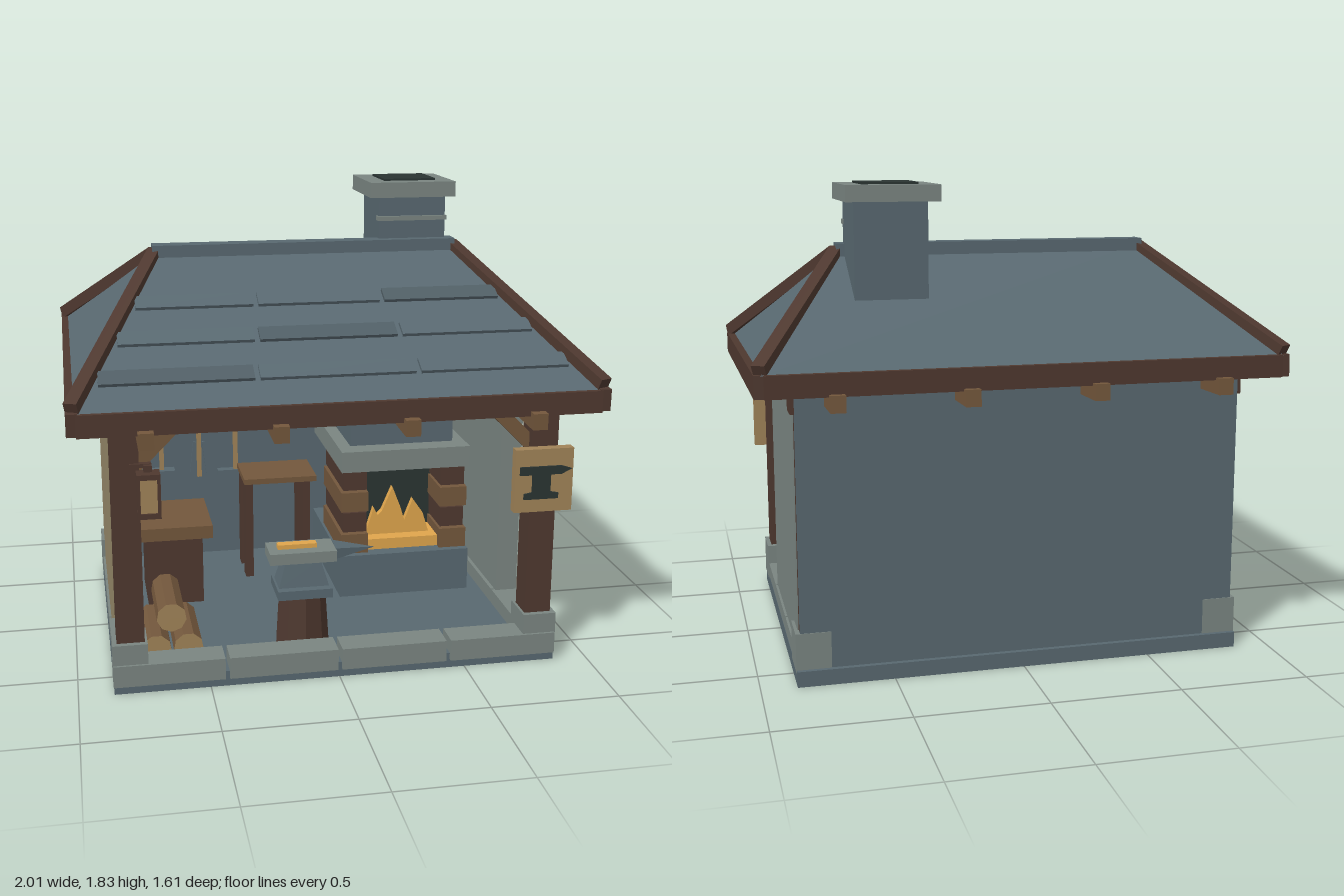
import * as THREE from 'three';

const mat = (name, color, side = THREE.FrontSide) => {
  const m = new THREE.MeshStandardMaterial({ color, side, flatShading: true });
  m.name = name;
  return m;
};
const slate = mat('slate', 0x586870), slateDark = mat('dark slate', 0x505e65);
const stone = mat('stone', 0x7a8581), timber = mat('dark timber', 0x4e382f);
const wood = mat('wood', 0x73573c), tan = mat('pale wood', 0xa08358);
const plaster = mat('plaster', 0x948768), soot = mat('soot', 0x2a3432);
const fire = mat('fire', 0xdfa54c, THREE.DoubleSide);

export function createModel() {
  const root = new THREE.Group();
  root.name = 'forgeHut';
  const add = (name, geo, material, x = 0, y = 0, z = 0, parent = root) => {
    const m = new THREE.Mesh(geo, material);
    m.name = name;
    m.position.set(x, y, z);
    parent.add(m);
    return m;
  };
  // Box given by its limits on each axis
  const box = (name, material, x0, x1, y0, y1, z0, z1) =>
    add(name, new THREE.BoxGeometry(x1 - x0, y1 - y0, z1 - z0), material, (x0 + x1) / 2, (y0 + y1) / 2, (z0 + z1) / 2);
  // Box of section w by h running between two points
  const beam = (name, material, a, b, w, h) => {
    const p = new THREE.Vector3(...a), q = new THREE.Vector3(...b);
    const m = add(name, new THREE.BoxGeometry(w, h, p.distanceTo(q)), material);
    m.position.copy(p).lerp(q, 0.5);
    m.lookAt(q);
    return m;
  };
  // Flat cut-out from outline points
  const plate = (name, material, pts, z, depth) =>
    add(name, new THREE.ExtrudeGeometry(new THREE.Shape(pts.map(p => new THREE.Vector2(...p))), { depth, bevelEnabled: false }), material, 0, 0, z);

  // Floor slab and stone rim
  box('floorSlab', slate, -0.865, 0.865, 0, 0.06, -0.645, 0.65);
  for (const [a, b] of [[-0.868, -0.445], [-0.428, -0.008], [0.008, 0.422], [0.44, 0.863]])
    box('frontRimStone', stone, a, b, 0.035, 0.12, 0.55, 0.667);
  for (const s of [-1, 1]) {
    const sideBox = (name, m, x0, x1, ...r) => box(name, m, Math.min(s * x0, s * x1), Math.max(s * x0, s * x1), ...r);
    for (const [a, b] of [[0.205, 0.505], [-0.2, 0.195], [-0.475, -0.212]])
      sideBox('sideRimStone', stone, 0.75, 0.864, 0.05, 0.12, a, b);
    sideBox('frontCornerStone', stone, 0.735, 0.867, 0.05, 0.2, 0.505, 0.657);
    sideBox('backCornerStone', stone, 0.735, 0.867, 0.05, 0.2, -0.628, -0.475);
    // Posts, side walls and corner braces
    sideBox('frontPost', timber, 0.745, 0.85, 0.19, 1.06, 0.53, 0.635);
    sideBox('backPost', timber, 0.745, 0.85, 0.19, 1.1, -0.607, -0.5);
    sideBox('sideWall', s > 0 ? stone : plaster, 0.765, 0.855, 0.115, 1.11, -0.58, 0.215);
    beam('cornerBrace', wood, [s * 0.76, 0.88, 0.58], [s * 0.6, 1.04, 0.58], 0.05, 0.055);
  }
  box('backWall', slate, -0.85, 0.85, 0.06, 1.12, -0.625, -0.606);
  box('frontPlate', timber, -0.86, 0.86, 1.03, 1.09, 0.53, 0.635);
  box('backPlate', timber, -0.865, 0.865, 1.02, 1.11, -0.62, -0.52);

  // Hipped roof, with eaves a little higher at the back
  const ex = 0.975, ez = 0.755, rx = 0.62, rz = -0.1, ry = 1.56, fy = 1.125, by = 1.185;
  const A = [-ex, fy, ez], B = [ex, fy, ez], C = [ex, by, -ez], D = [-ex, by, -ez];
  const L = [-rx, ry, rz], R = [rx, ry, rz];
  const roof = new THREE.BufferGeometry();
  roof.setAttribute('position', new THREE.Float32BufferAttribute(
    [A, B, R, A, R, L, B, C, R, C, D, L, C, L, R, D, A, L].flat(), 3));
  roof.computeVertexNormals();
  add('roofSlopes', roof, slate);
  beam('soffit', timber, [0, 1.085, ez], [0, 1.145, -ez], 1.94, 0.02);
  box('ridgeCap', slate, -0.628, 0.622, 1.53, 1.588, -0.138, -0.06);
  beam('frontFascia', timber, [-0.965, 1.086, 0.752], [0.965, 1.086, 0.752], 0.036, 0.084);
  beam('backFascia', timber, [-0.965, 1.147, -0.752], [0.965, 1.147, -0.752], 0.036, 0.084);
  for (const s of [-1, 1]) {
    beam('sideFascia', timber, [s * 0.978, 1.09, 0.765], [s * 0.978, 1.147, -0.755], 0.042, 0.084);
    beam('frontHip', timber, [s * 0.978, 1.145, 0.745], [s * 0.615, 1.555, -0.1], 0.05, 0.05);
    beam('backHip', timber, [s * 0.978, 1.2, -0.745], [s * 0.615, 1.555, -0.1], 0.05, 0.05);
  }
  for (const x of [-0.725, -0.245, 0.235, 0.715]) {
    beam('frontRafterEnd', wood, [x, 1.03, 0.803], [x, 1.037, 0.6], 0.056, 0.062);
    beam('backRafterEnd', wood, [x, 1.085, -0.803], [x, 1.078, -0.6], 0.056, 0.062);
  }

  // Slate courses on the front slope
  const drop = (ry - fy) / (ez - rz);
  [[0.208, -0.255, 0.245, 2], [0.4, -0.277, 0.272, 1], [0.595, -0.305, 0.297, 0]].forEach(([z, a, b, dark]) => {
    const end = rx + (ex - rx) * (z - rz) / (ez - rz) - 0.03;
    [[-end, a - 0.01], [a + 0.01, b - 0.01], [b + 0.01, end]].forEach(([x0, x1], i) => {
      const m = add('roofSlate', new THREE.BoxGeometry(x1 - x0, 0.02, 0.076), i === dark ? slateDark : slate,
        (x0 + x1) / 2, ry - drop * (z - rz) + 0.003, z);
      m.rotation.x = Math.atan(drop);
    });
  });

  // Chimney
  box('chimneyShaft', slate, 0.31, 0.59, 1.25, 1.77, -0.39, -0.105);
  box('chimneyBand', stone, 0.302, 0.594, 1.662, 1.68, -0.13, -0.09);
  box('chimneyCap', stone, 0.268, 0.625, 1.758, 1.82, -0.43, -0.075);
  box('chimneyMouth', soot, 0.34, 0.557, 1.82, 1.828, -0.363, -0.147);

  // Forge hearth
  box('hearthBase', slate, 0.127, 0.694, 0.06, 0.245, -0.605, 0.03);
  box('hearthBack', soot, 0.2, 0.62, 0.245, 0.63, -0.605, -0.2);
  for (let i = 0; i < 4; i++) {
    const y = 0.245 + i * 0.094, w = i % 2 ? 0 : 0.01;
    const m = i % 2 ? timber : wood;
    box('hearthJamb', m, 0.148 - w, 0.25 + w / 2, y, y + 0.086, -0.4, -0.01 + w);
    box('hearthJamb', m, 0.577 - w / 2, 0.68 + w, y, y + 0.086, -0.4, -0.01 + w);
  }
  box('hearthMantel', stone, 0.133, 0.69, 0.62, 0.71, -0.605, 0.03);
  box('hearthHood', slate, 0.187, 0.637, 0.71, 0.81, -0.605, -0.06);
  box('emberBed', fire, 0.252, 0.575, 0.245, 0.292, -0.2, -0.03);
  plate('flames', fire, [[0.262, 0.29], [0.3, 0.415], [0.318, 0.38], [0.338, 0.4], [0.383, 0.505], [0.42, 0.41],
    [0.438, 0.35], [0.475, 0.445], [0.52, 0.38], [0.548, 0.29]], -0.12, 0.03);

  // Anvil on its stump
  const ax = -0.108, az = 0.41;
  add('anvilStump', new THREE.CylinderGeometry(0.095, 0.108, 0.21, 9), timber, ax, 0.165, az);
  box('anvilBase', slate, ax - 0.108, ax + 0.108, 0.268, 0.305, az - 0.095, az + 0.095);
  const waist = new THREE.CylinderGeometry(0.49, 0.707, 0.105, 4).rotateY(Math.PI / 4).scale(0.2, 1, 0.122);
  add('anvilWaist', waist, slate, ax, 0.357, az);
  box('anvilTop', stone, -0.243, 0.022, 0.407, 0.452, az - 0.07, az + 0.07);
  const horn = new THREE.ConeGeometry(0.707, 1, 4).rotateY(Math.PI / 4).rotateZ(-Math.PI / 2).scale(0.165, 0.044, 0.1);
  add('anvilHorn', horn, slate, 0.104, 0.432, az);
  box('hotBar', fire, -0.205, -0.05, 0.452, 0.47, az - 0.017, az + 0.02);

  // Workbench and side table
  box('workbenchTop', wood, -0.73, -0.415, 0.36, 0.415, -0.35, 0.01);
  box('workbenchBody', timber, -0.69, -0.455, 0.06, 0.36, -0.32, -0.03);
  box('sideTableTop', wood, -0.245, 0.077, 0.498, 0.522, -0.5, -0.25);
  for (const x of [-0.222, 0.034]) for (const z of [-0.46, -0.3])
    box('sideTableLeg', timber, x - 0.017, x + 0.017, 0.06, 0.5, z - 0.03, z + 0.03);

  // Tool rack on the back wall
  box('toolRack', wood, -0.67, -0.155, 0.652, 0.703, -0.606, -0.57);
  for (const [x, y] of [[-0.583, 0.48], [-0.412, 0.45], [-0.245, 0.475]])
    box('toolHandle', tan, x - 0.01, x + 0.01, y, 0.728, -0.57, -0.55);
  box('hammerHead', slate, -0.637, -0.525, 0.43, 0.492, -0.59, -0.53);
  box('punchHead', slate, -0.328, -0.225, 0.452, 0.478, -0.58, -0.54);
  for (const s of [-1, 1])
    beam('tongsArm', slate, [-0.412 + s * 0.02, 0.615, -0.56], [-0.412 + s * 0.038, 0.46, -0.56], 0.012, 0.012);

  // Log pile
  for (const [x, y] of [[-0.695, 0.118], [-0.572, 0.118], [-0.635, 0.245]]) {
    const g = new THREE.CylinderGeometry(0.058, 0.058, 0.31, 9).rotateX(Math.PI / 2);
    add('log', g, [wood, tan, tan], x, y, 0.38);
  }

  // Hanging sign with an anvil outline
  box('signBoard', tan, 0.67, 0.9, 0.635, 0.885, 0.636, 0.676);
  plate('signAnvil', soot, [[0.705, 0.688], [0.842, 0.688], [0.842, 0.71], [0.81, 0.716], [0.81, 0.785], [0.852, 0.785],
    [0.893, 0.805], [0.852, 0.818], [0.687, 0.818], [0.687, 0.785], [0.737, 0.785], [0.737, 0.716], [0.705, 0.71]], 0.676, 0.008);

  // Lantern on the left-hand front post
  box('lanternGlass', tan, -0.746, -0.684, 0.72, 0.865, 0.64, 0.692);
  for (const [y0, y1] of [[0.708, 0.728], [0.856, 0.876]])
    box('lanternFrame', timber, -0.758, -0.672, y0, y1, 0.632, 0.7);
  for (const x of [-0.752, -0.678]) for (const z of [0.638, 0.694])
    box('lanternBar', timber, x - 0.006, x + 0.006, 0.72, 0.865, z - 0.006, z + 0.006);
  box('lanternHook', timber, -0.73, -0.7, 0.876, 0.9, 0.62, 0.665);
  box('lanternArm', timber, -0.78, -0.7, 0.888, 0.902, 0.62, 0.645);
  return root;
}
